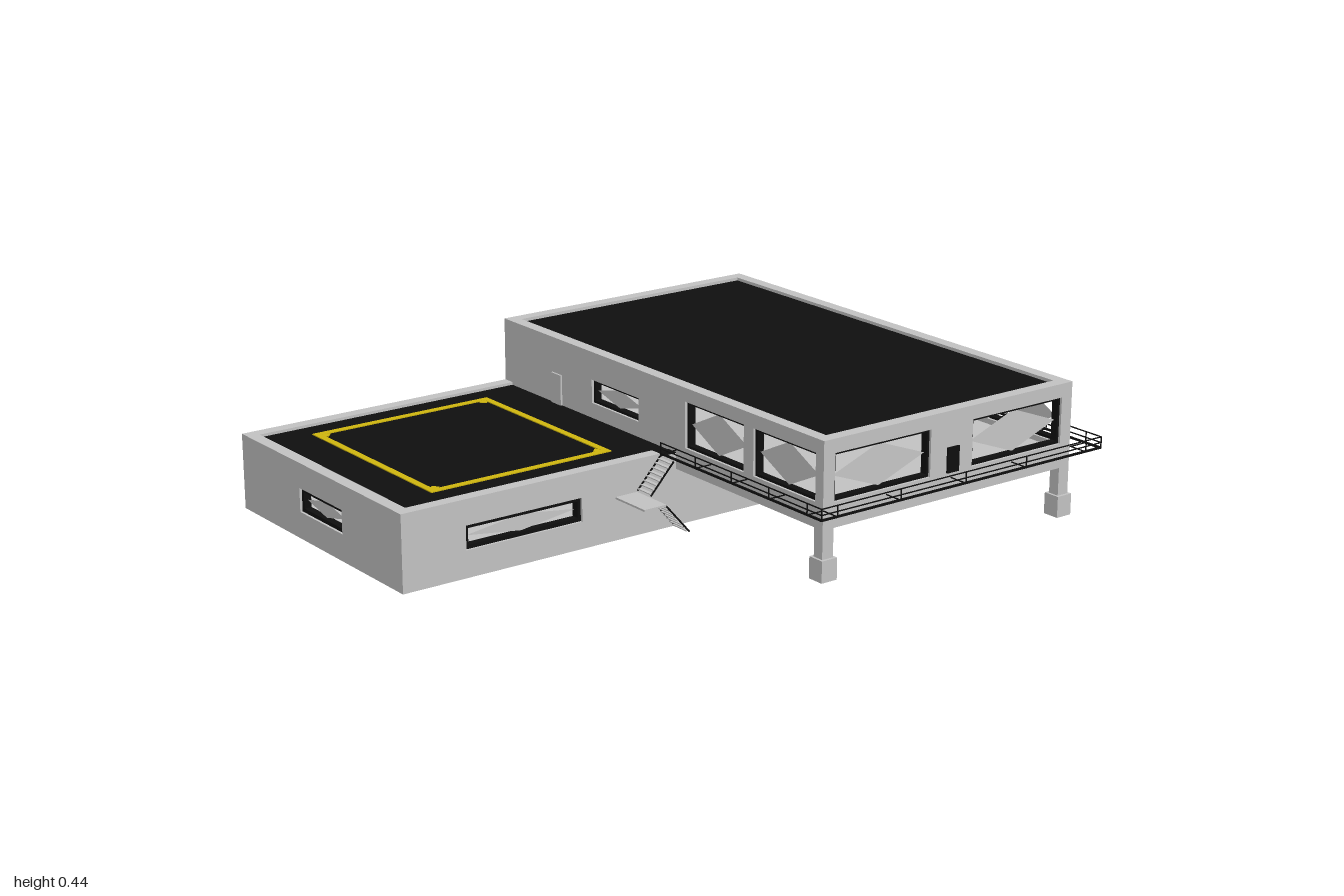
import * as THREE from 'three';

const mat = (name, color, side = THREE.FrontSide) => {
  const m = new THREE.MeshStandardMaterial({ color, side });
  m.name = name;
  return m;
};

export function createModel() {
  const concrete = mat('concrete', 0xc1c1c1);
  const glass = mat('glass', 0xc4c4c4, THREE.DoubleSide);
  const black = mat('black', 0x0e0e0e);
  const yellow = mat('yellow', 0xcdb40e);
  const root = new THREE.Group();
  root.name = 'house';

  // Box given by its minimum and maximum on each axis
  function box(name, m, x0, x1, y0, y1, z0, z1, parent = root) {
    const b = new THREE.Mesh(new THREE.BoxGeometry(x1 - x0, y1 - y0, z1 - z0), m);
    b.position.set((x0 + x1) / 2, (y0 + y1) / 2, (z0 + z1) / 2);
    b.name = name;
    parent.add(b);
    return b;
  }

  // Flat bar frame around a rectangle, lying in the xy plane
  function frame(name, m, [x0, x1, y0, y1], t, z0, z1, parent) {
    const g = new THREE.Group();
    g.name = name;
    box('lowerBar', m, x0, x1, y0, y0 + t, z0, z1, g);
    box('upperBar', m, x0, x1, y1 - t, y1, z0, z1, g);
    box('leftBar', m, x0, x0 + t, y0 + t, y1 - t, z0, z1, g);
    box('rightBar', m, x1 - t, x1, y0 + t, y1 - t, z0, z1, g);
    parent.add(g);
    return g;
  }

  // Wall 0.04 thick with openings, each fitted with a frame and a diamond pane
  const T = 0.04;
  function wall(name, outline, windows = [], t = 0.008) {
    const g = new THREE.Group();
    g.name = name;
    const shape = new THREE.Shape(outline.map(p => new THREE.Vector2(...p)));
    for (const w of windows) {
      const [a, b, c, d] = w;
      shape.holes.push(new THREE.Path([[a, c], [a, d], [b, d], [b, c]].map(p => new THREE.Vector2(...p))));
      frame('windowFrame', black, w, t, 0.008, 0.032, g);
      const u = (a + b) / 2, v = (c + d) / 2;
      const pane = new THREE.Shape([[a + t, v], [u, c + t], [b - t, v], [u, d - t]].map(p => new THREE.Vector2(...p)));
      const mesh = new THREE.Mesh(new THREE.ShapeGeometry(pane), glass);
      mesh.position.z = T / 2;
      mesh.name = 'windowPane';
      g.add(mesh);
    }
    const body = new THREE.Mesh(new THREE.ExtrudeGeometry(shape, { depth: T, bevelEnabled: false }), concrete);
    body.name = 'wallBody';
    g.add(body);
    root.add(g);
    return g;
  }
  const rect = (a, b, c, d) => [[a, c], [b, c], [b, d], [a, d]];
  const alongX = (g, zFront) => { g.position.z = zFront - T; };
  const alongZ = (g, xMax) => { g.rotation.y = -Math.PI / 2; g.position.x = xMax; };

  const L = -1, M = -0.035, R = 0.93, back = -0.835, step = 0.085, front = 0.77;
  const low = 0.24, high = 0.445, under = 0.18;

  // Tall wing walls, raised on columns at the front
  const sideOutline = [[back, 0], [step, 0], [step, under], [front, under], [front, high], [back, high]];
  const sideWindows = [[0.455, 0.735, 0.257, 0.402], [0.13, 0.41, 0.257, 0.402]];
  alongZ(wall('tallLeftWall', sideOutline, sideWindows), R);
  alongZ(wall('tallRightWall', sideOutline, [...sideWindows, [-0.35, -0.105, 0.28, 0.355]]), M + T);
  alongX(wall('tallFrontWall', rect(M + T, R - T, under, high),
    [[0.006, 0.367, 0.257, 0.402], [0.53, 0.889, 0.257, 0.402]]), front);
  alongX(wall('tallBackWall', rect(M + T, R - T, 0, high)), back + T);
  alongX(wall('groundFrontWall', rect(M + T, R - T, 0, low)), step);

  // Low wing walls; the front parapet is notched for the stair head
  alongX(wall('lowFrontWall', [[L + T, 0], [M, 0], [M, 0.23], [-0.095, 0.23], [-0.095, low], [L + T, low]],
    [[-0.785, -0.38, 0.085, 0.16]], 0.012), step);
  alongX(wall('lowBackWall', rect(L + T, M, 0, low)), back + T);
  alongZ(wall('lowRightWall', rect(back, step, 0, low), [[-0.49, -0.245, 0.085, 0.16]], 0.012), L + T);

  // Floors, ceilings and black roofs
  box('lowFloor', concrete, L + T, M, 0.015, 0.03, back + T, step - T);
  box('tallFloor', concrete, M + T, R - T, 0.015, 0.03, back + T, step - T);
  box('upperFloor', concrete, M + T, R - T, 0.2, low, back + T, front - T);
  box('lowCeiling', concrete, L + T, M, 0.21, 0.224, back + T, step - T);
  box('tallCeiling', concrete, M + T, R - T, 0.415, 0.427, back + T, front - T);
  box('lowRoof', black, L + T, M, 0.224, 0.231, back + T, step - T);
  box('stairHeadRoof', black, -0.095, M, 0.23, 0.233, step - T, step);
  box('tallRoof', black, M + T, R - T, 0.427, 0.435, back + T, front - T);

  // Yellow square marked on the low roof
  const mark = frame('roofMarking', yellow, [-0.82, -0.183, 0.04, 0.722], 0.022, 0, 0.003, root);
  mark.rotation.x = -Math.PI / 2;
  mark.position.y = 0.231;
  for (const sx of [-0.79, -0.213]) for (const sz of [-0.692, -0.07]) {
    const corner = box('markingCorner', yellow, sx - 0.012, sx + 0.012, 0.231, 0.2335, sz - 0.012, sz + 0.012);
    corner.rotation.y = Math.PI / 4;
  }

  // Beams below the raised room
  for (const x of [0.295, 0.6]) box('longBeam', concrete, x - 0.012, x + 0.012, under + 0.002, 0.2, step, front - T);
  for (const z of [0.31, 0.52]) box('crossBeam', concrete, M + T, R - T, under + 0.004, 0.2, z - 0.012, z + 0.012);

  // Front columns on wider piers
  for (const x of [M + 0.02, R - 0.02]) {
    box('column', concrete, x - 0.02, x + 0.02, 0.09, under, 0.733, front);
    box('pier', concrete, x - 0.028, x + 0.028, 0.025, 0.092, 0.723, 0.779);
  }

  // Upper balcony door with slats, rounded ground door, small roof door
  box('balconyDoor', black, 0.43, 0.475, 0.257, 0.335, front, front + 0.006);
  const arch = new THREE.Shape();
  arch.moveTo(0.428, 0.035);
  arch.lineTo(0.474, 0.035);
  arch.lineTo(0.474, 0.128);
  arch.quadraticCurveTo(0.474, 0.142, 0.46, 0.142);
  arch.lineTo(0.442, 0.142);
  arch.quadraticCurveTo(0.428, 0.142, 0.428, 0.128);
  const door = new THREE.Mesh(new THREE.ExtrudeGeometry(arch, { depth: 0.005, bevelEnabled: false }), concrete);
  door.position.z = step;
  door.name = 'groundDoor';
  root.add(door);
  box('roofDoor', concrete, M - 0.006, M, 0.231, 0.33, -0.565, -0.512);

  // Wedge ramp up to the ground door
  const wedge = new THREE.Shape([[step, 0], [0.185, 0], [step, 0.04]].map(p => new THREE.Vector2(...p)));
  const ramp = new THREE.Mesh(new THREE.ExtrudeGeometry(wedge, { depth: 0.046, bevelEnabled: false }), concrete);
  ramp.rotation.y = -Math.PI / 2;
  ramp.position.x = 0.474;
  ramp.name = 'doorRamp';
  root.add(ramp);

  // Open balcony frame and railings round three sides
  const bx0 = -0.095, bx1 = 1, bz = 0.835, h = 0.0015;
  for (const [y, t] of [[0.24, 0.006], [0.256, 0.003], [0.274, 0.003]]) {
    box('frontRail', black, bx0, bx1, y - t / 2, y + t / 2, bz - t, bz);
    box('leftRail', black, bx1 - t, bx1, y - t / 2, y + t / 2, step, bz - t);
    box('rightRail', black, bx0, bx0 + t, y - t / 2, y + t / 2, step, bz - t);
  }
  for (const x of [bx0 + h, M, 0.2, 0.45, 0.69, 0.935, bx1 - h]) {
    box('railPost', black, x - h, x + h, 0.24, 0.275, bz - 0.003, bz);
    box('frontBearer', black, x - h, x + h, 0.238, 0.241, front, bz);
  }
  for (const z of [step + h, 0.257, 0.427, 0.6, 0.77]) {
    for (const [a, b, post] of [[bx0, M, bx0 + h], [R, bx1, bx1 - h]]) {
      box('sideBearer', black, a, b, 0.238, 0.241, z - h, z + h);
      box('railPost', black, post - h, post + h, 0.24, 0.275, z - h, z + h);
    }
  }

  // Two-flight stair with a landing
  box('stairLanding', concrete, -0.26, -0.18, 0.131, 0.137, step, 0.23);
  const steps = 8;
  for (let i = 0; i < steps; i++) {
    const x = -0.18 + i * 0.0105;
    const up = 0.148 + i * 0.0115, down = 0.128 - i * 0.0125;
    box('upperTread', concrete, x, x + 0.012, up - 0.003, up, step, 0.153);
    box('lowerTread', concrete, x, x + 0.012, down - 0.003, down, 0.16, 0.23);
  }
  const stringer = (y0, y1, z) => {
    const dx = 0.085, dy = y1 - y0;
    const s = box('stairStringer', black, 0, Math.hypot(dx, dy), 0, 0.005, z, z + 0.003);
    s.position.set(-0.1375, (y0 + y1) / 2, z);
    s.rotation.z = Math.atan2(dy, dx);
  };
  for (const z of [step + 0.002, 0.153]) stringer(0.141, 0.233, z);
  for (const z of [0.16, 0.23]) stringer(0.132, 0.035, z);

  return root;
}
